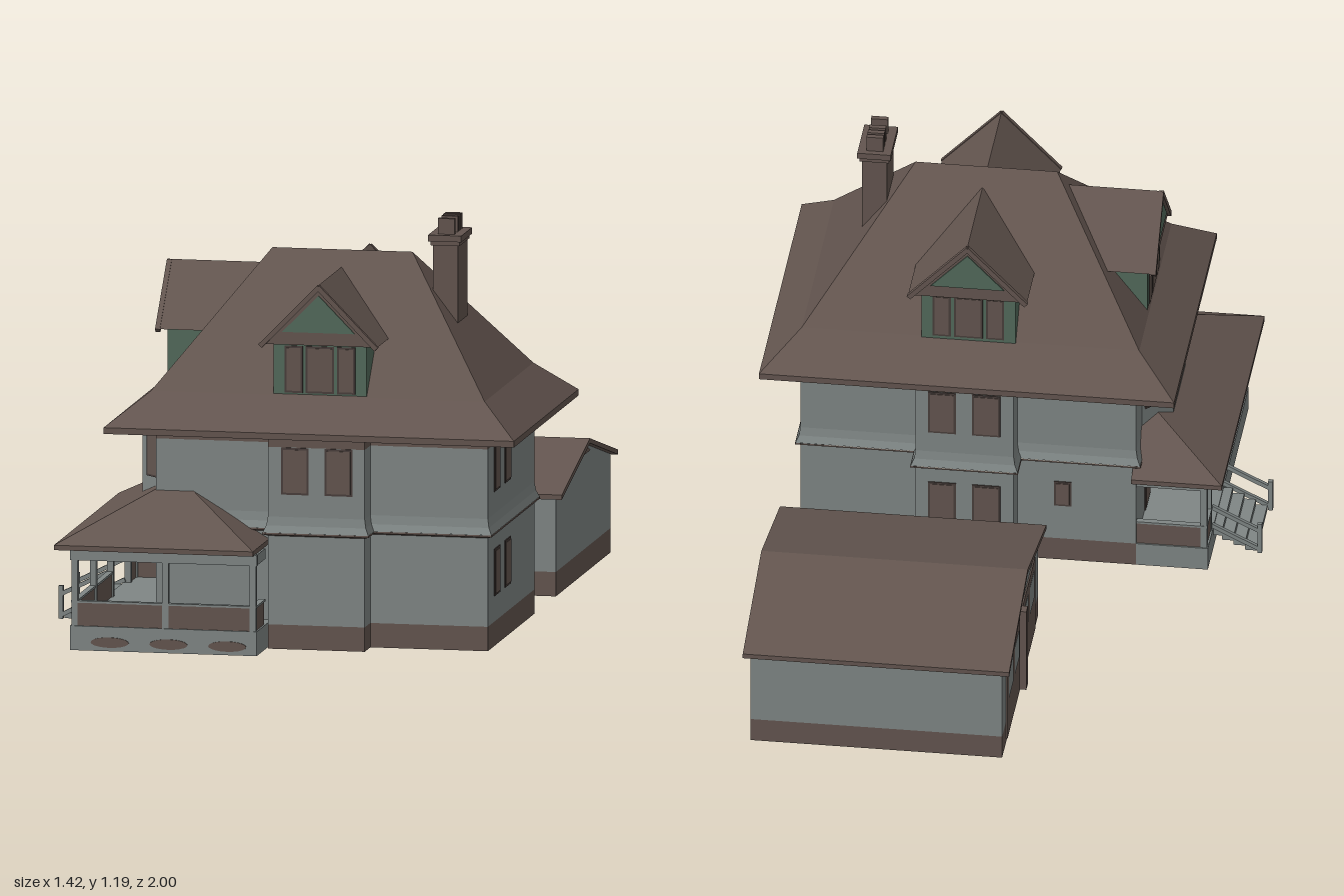
import * as THREE from 'three';

const mat = (name, color, side = THREE.FrontSide) => {
  const m = new THREE.MeshStandardMaterial({ color, side });
  m.name = name;
  return m;
};

export function createModel() {
  const wallGrey = mat('wall grey', 0x7f8685, THREE.DoubleSide);
  const brown = mat('roof brown', 0x63554f, THREE.DoubleSide);
  const green = mat('dormer green', 0x526a5b, THREE.DoubleSide);
  const dark = mat('window frame dark', 0x483e3b);
  const model = new THREE.Group();
  model.name = 'houseWithGarage';

  const add = (parent, name, geo, material) => {
    const m = new THREE.Mesh(geo, material);
    m.name = name;
    parent.add(m);
    return m;
  };
  const group = (parent, name) => {
    const g = new THREE.Group();
    g.name = name;
    parent.add(g);
    return g;
  };
  // Box given by its minimum and maximum corners
  const box = (parent, name, material, x0, x1, y0, y1, z0, z1) => {
    const m = add(parent, name, new THREE.BoxGeometry(x1 - x0, y1 - y0, z1 - z0), material);
    m.position.set((x0 + x1) / 2, (y0 + y1) / 2, (z0 + z1) / 2);
    return m;
  };
  // Flat-shaded faces from convex polygons
  const faces = (polys) => {
    const p = [];
    for (const f of polys) {
      for (let i = 1; i < f.length - 1; i++) p.push(...f[0], ...f[i], ...f[i + 1]);
    }
    const g = new THREE.BufferGeometry();
    g.setAttribute('position', new THREE.Float32BufferAttribute(p, 3));
    g.computeVertexNormals();
    return g;
  };
  // Outline of [x, z] points raised to a height, pushed outwards by off
  const ring = (pts, y, off = 0) => pts.map((p, i) => {
    const n = pts.length, a = pts[(i + n - 1) % n], b = pts[(i + 1) % n];
    const nrm = (s, e) => {
      const l = Math.hypot(e[0] - s[0], e[1] - s[1]);
      return [(e[1] - s[1]) / l, (s[0] - e[0]) / l];
    };
    const n1 = nrm(a, p), n2 = nrm(p, b);
    const k = off / (1 + n1[0] * n2[0] + n1[1] * n2[1]);
    return [p[0] + k * (n1[0] + n2[0]), y, p[1] + k * (n1[1] + n2[1])];
  });
  const loft = (rings) => {
    const polys = [];
    for (let r = 0; r < rings.length - 1; r++) {
      rings[r].forEach((a, i, arr) => {
        const j = (i + 1) % arr.length;
        polys.push([a, rings[r + 1][i], rings[r + 1][j], arr[j]]);
      });
    }
    return faces(polys);
  };
  const rect = (x0, x1, z0, z1) => [[x0, z0], [x1, z0], [x1, z1], [x0, z1]];
  // Horizontal slab cut from an [x, z] outline
  const slab = (pts, y0, y1) => {
    const s = new THREE.Shape(pts.map(p => new THREE.Vector2(p[0], p[1])));
    return new THREE.ExtrudeGeometry(s, { depth: y1 - y0, bevelEnabled: false })
      .rotateX(Math.PI / 2).translate(0, y1, 0);
  };
  // Thin framed window centred on a wall, turned to face outwards
  const win = (parent, x, y, z, turn, w = 0.08, h = 0.135) => {
    const g = group(parent, 'window');
    add(g, 'windowFrame', new THREE.BoxGeometry(w, h, 0.006), dark);
    add(g, 'windowPane', new THREE.BoxGeometry(w - 0.012, h - 0.012, 0.0096), brown);
    g.position.set(x, y, z);
    g.rotation.y = turn;
  };
  const LEFT = -Math.PI / 2, RIGHT = Math.PI / 2, BACK = Math.PI;

  // House walls: cross-shaped plan with a flared belt between the storeys
  const house = group(model, 'house');
  const plan = [[-0.37, 0.1], [-0.03, 0.1], [-0.03, 0.02], [0.25, 0.02], [0.25, 0.1], [0.59, 0.1],
    [0.59, 0.76], [0.25, 0.76], [0.25, 0.84], [-0.03, 0.84], [-0.03, 0.76], [-0.37, 0.76]];
  add(house, 'foundation', loft([ring(plan, 0), ring(plan, 0.07)]), brown);
  add(house, 'lowerWalls', loft([ring(plan, 0.07), ring(plan, 0.325)]), wallGrey);
  add(house, 'beltCourse', loft([ring(plan, 0.325), ring(plan, 0.33, 0.014), ring(plan, 0.335, 0.014)]), brown);
  add(house, 'upperWalls', loft([ring(plan, 0.335, 0.013), ring(plan, 0.355, 0.004), ring(plan, 0.38), ring(plan, 0.58)]), wallGrey);
  add(house, 'frieze', loft([ring(plan, 0.58), ring(plan, 0.615)]), brown);

  // Angled upper bay on the porch side
  const bay = [[-0.36, 0.21], [-0.45, 0.3], [-0.45, 0.56], [-0.36, 0.65]].reverse();
  add(house, 'sideBay', loft([ring(bay, 0.34), ring(bay, 0.58)]), wallGrey);
  add(house, 'sideBayFrieze', loft([ring(bay, 0.58), ring(bay, 0.615)]), brown);
  for (const z of [0.37, 0.49]) win(house, -0.45, 0.51, z, LEFT);
  win(house, -0.405, 0.51, 0.605, -Math.PI / 4, 0.075);
  win(house, -0.405, 0.51, 0.255, -Math.PI * 0.75, 0.075);

  // Windows of the other walls
  for (const x of [0.048, 0.175]) {
    win(house, x, 0.512, 0.84, 0);
    win(house, x, 0.512, 0.02, BACK);
    win(house, x, 0.212, 0.02, BACK);
  }
  for (const z of [0.485, 0.635]) for (const y of [0.212, 0.512]) win(house, 0.59, y, z, RIGHT);
  win(house, -0.16, 0.22, 0.1, BACK, 0.05, 0.08);
  for (const z of [0.5, 0.585, 0.67]) win(house, -0.37, 0.2, z, LEFT, 0.07, 0.13);
  win(house, -0.37, 0.165, 0.33, LEFT, 0.1, 0.19);

  // Main hipped roof with flared eaves
  const eave = rect(-0.495, 0.692, -0.027, 0.892);
  add(house, 'mainRoof', loft([ring(eave, 0.612), ring(eave, 0.628), ring(rect(-0.38, 0.585, 0.09, 0.78), 0.72),
    [[-0.1, 1.085, 0.432], [0.305, 1.085, 0.432], [0.305, 1.085, 0.432], [-0.1, 1.085, 0.432]]]), brown);
  add(house, 'soffit', slab(eave, 0.61, 0.613), brown);

  // Dormers, each built facing +z and then turned
  const dormer = (x, z, turn) => {
    const d = group(house, 'dormer');
    d.position.set(x, 0, z);
    d.rotation.y = turn;
    box(d, 'dormerBody', green, -0.135, 0.135, 0.7, 0.872, 0.06, 0.345);
    for (const [wx, ww] of [[-0.076, 0.052], [0, 0.082], [0.076, 0.052]]) win(d, wx, 0.795, 0.345, 0, ww, 0.135);
    const gable = (hw, y0, y1) => new THREE.Shape([[-hw, y0], [hw, y0], [0, y1]].map(p => new THREE.Vector2(...p)));
    const roof = gable(0.17, 0.868, 1.042);
    const front = add(d, 'dormerRoof', new THREE.ExtrudeGeometry(roof, { depth: 0.32, bevelEnabled: false }), brown);
    front.position.z = 0.045;
    const tri = add(d, 'dormerGable', new THREE.ExtrudeGeometry(gable(0.105, 0.905, 1.012), { depth: 0.004, bevelEnabled: false }), green);
    tri.position.z = 0.365;
    // Raking boards around the gable
    for (const s of [-1, 1]) {
      const b = add(d, 'rakeBoard', new THREE.BoxGeometry(0.243, 0.014, 0.014), brown);
      b.position.set(s * 0.083, 0.95, 0.367);
      b.rotation.z = -s * Math.atan2(0.174, 0.17);
    }
  };
  dormer(0.108, 0.432, 0);
  dormer(0.108, 0.432, BACK);
  dormer(-0.03, 0.436, LEFT);

  // Chimney
  const chimney = group(house, 'chimney');
  box(chimney, 'stack', brown, 0.378, 0.45, 0.7, 1.13, 0.365, 0.5);
  box(chimney, 'chimneyCap', brown, 0.366, 0.462, 1.13, 1.148, 0.355, 0.51);
  box(chimney, 'chimneyCollar', brown, 0.372, 0.456, 1.118, 1.13, 0.36, 0.505);
  for (const z of [0.38, 0.405, 0.432, 0.48]) box(chimney, 'flue', brown, 0.39, 0.438, 1.148, 1.193, z - 0.008, z + 0.008);

  // Wrap-around porch
  const porch = group(model, 'porch');
  const lShape = (x0, x1, z0, z1) => [[x0, z0], [-0.36, z0], [-0.36, 0.75], [x1, 0.75], [x1, z1], [x0, z1]];
  add(porch, 'deck', slab(lShape(-0.575, -0.035, 0.1, 0.975), 0, 0.07), wallGrey);
  for (const x of [-0.46, -0.29, -0.12]) {
    const v = add(porch, 'deckVent', new THREE.CylinderGeometry(0.055, 0.055, 0.006, 20), brown);
    v.rotation.x = Math.PI / 2;
    v.scale.z = 0.27;
    v.position.set(x, 0.025, 0.975);
  }
  const rail = (x0, x1, z0, z1) => {
    box(porch, 'railPanel', brown, x0, x1, 0.07, 0.136, z0, z1);
    box(porch, 'railCap', wallGrey, x0 - 0.003, x1 + 0.003, 0.136, 0.142, z0 - 0.003, z1 + 0.003);
  };
  rail(-0.57, -0.04, 0.958, 0.97);
  rail(-0.57, -0.558, 0.45, 0.958);
  rail(-0.57, -0.558, 0.105, 0.21);
  rail(-0.558, -0.37, 0.105, 0.117);
  rail(-0.052, -0.04, 0.845, 0.958);
  for (const [x, z] of [[-0.563, 0.963], [-0.3, 0.963], [-0.047, 0.963], [-0.563, 0.7], [-0.563, 0.455],
    [-0.563, 0.205], [-0.563, 0.112]]) {
    box(porch, 'post', wallGrey, x - 0.009, x + 0.009, 0.07, 0.29, z - 0.009, z + 0.009);
  }
  box(porch, 'frontBeam', wallGrey, -0.575, -0.035, 0.258, 0.288, 0.955, 0.972);
  box(porch, 'sideBeam', wallGrey, -0.572, -0.555, 0.258, 0.288, 0.103, 0.96);
  box(porch, 'backBeam', wallGrey, -0.56, -0.37, 0.258, 0.288, 0.103, 0.12);
  box(porch, 'endBeam', wallGrey, -0.054, -0.037, 0.258, 0.288, 0.84, 0.96);

  // Porch roof: hipped around the house corner
  add(porch, 'porchEave', slab(lShape(-0.619, -0.043, 0.067, 0.99), 0.288, 0.302), brown);
  const A = [-0.619, 0.302, 0.067], B = [-0.619, 0.302, 0.99], C = [-0.043, 0.302, 0.99], D = [-0.043, 0.302, 0.74];
  const T0 = [-0.36, 0.44, 0.31], T1 = [-0.36, 0.44, 0.745], T2 = [-0.275, 0.44, 0.745], E = [-0.36, 0.302, 0.067];
  add(porch, 'porchRoof', faces([[A, B, T1, T0], [B, C, T2, T1], [C, D, T2], [E, A, T0]]), brown);

  // Porch steps with sloping handrails
  const steps = group(porch, 'steps');
  for (let i = 0; i < 4; i++) {
    const x = -0.7 + i * 0.033;
    box(steps, 'step', wallGrey, x, x + 0.035, i * 0.014, 0.016 + i * 0.0165, 0.22, 0.44);
  }
  for (const z of [0.215, 0.446]) {
    box(steps, 'newel', wallGrey, -0.715, -0.702, 0, 0.095, z - 0.007, z + 0.007);
    for (const y of [0.105, 0.045]) {
      const r = add(steps, 'handrail', new THREE.BoxGeometry(0.152, 0.012, 0.012), wallGrey);
      r.position.set(-0.639, y, z);
      r.rotation.z = 0.46;
    }
  }

  // Garage with a gabled roof running along x
  const garage = group(model, 'garage');
  const gx0 = -0.13, gx1 = 0.59, gz0 = -0.978, gz1 = -0.205, gzm = -0.592;
  const gPlan = rect(gx0, gx1, gz0, gz1);
  add(garage, 'garageBase', loft([ring(gPlan, 0), ring(gPlan, 0.07)]), brown);
  add(garage, 'garageWalls', loft([ring(gPlan, 0.07), ring(gPlan, 0.285)]), wallGrey);
  add(garage, 'garageGables', faces([
    [[gx0, 0.285, gz0], [gx0, 0.285, gz1], [gx0, 0.38, gzm]],
    [[gx1, 0.285, gz1], [gx1, 0.285, gz0], [gx1, 0.38, gzm]]]), wallGrey);
  const peak = (x) => [[x, 0.343, gzm - 0.09], [x, 0.343, gzm + 0.09], [x, 0.378, gzm]];
  add(garage, 'gablePeaks', faces([peak(gx0 - 0.003), peak(gx1 + 0.003).reverse()]), brown);
  const chevron = new THREE.Shape([[-0.992, 0.28], [-0.992, 0.294], [gzm, 0.392], [-0.192, 0.294], [-0.192, 0.28], [gzm, 0.378]]
    .map(p => new THREE.Vector2(-p[0], p[1])));
  add(garage, 'garageRoof', new THREE.ExtrudeGeometry(chevron, { depth: 0.762, bevelEnabled: false })
    .rotateY(Math.PI / 2).translate(-0.152, 0, 0), brown);

  // Garage doors with panes and a centre post
  for (const z of [-0.755, -0.43]) {
    box(garage, 'garageDoor', brown, gx0 - 0.004, gx0 + 0.004, 0.01, 0.25, z - 0.135, z + 0.135);
    for (const s of [-1, 1]) {
      box(garage, 'doorPane', wallGrey, gx0 - 0.0048, gx0 + 0.0048, 0.13, 0.22, z + s * 0.065 - 0.045, z + s * 0.065 + 0.045);
    }
  }
  box(garage, 'doorPost', brown, gx0 - 0.02, gx0 + 0.01, 0, 0.26, gzm - 0.016, gzm + 0.016);

  model.rotation.y = 0.013;
  return model;
}
